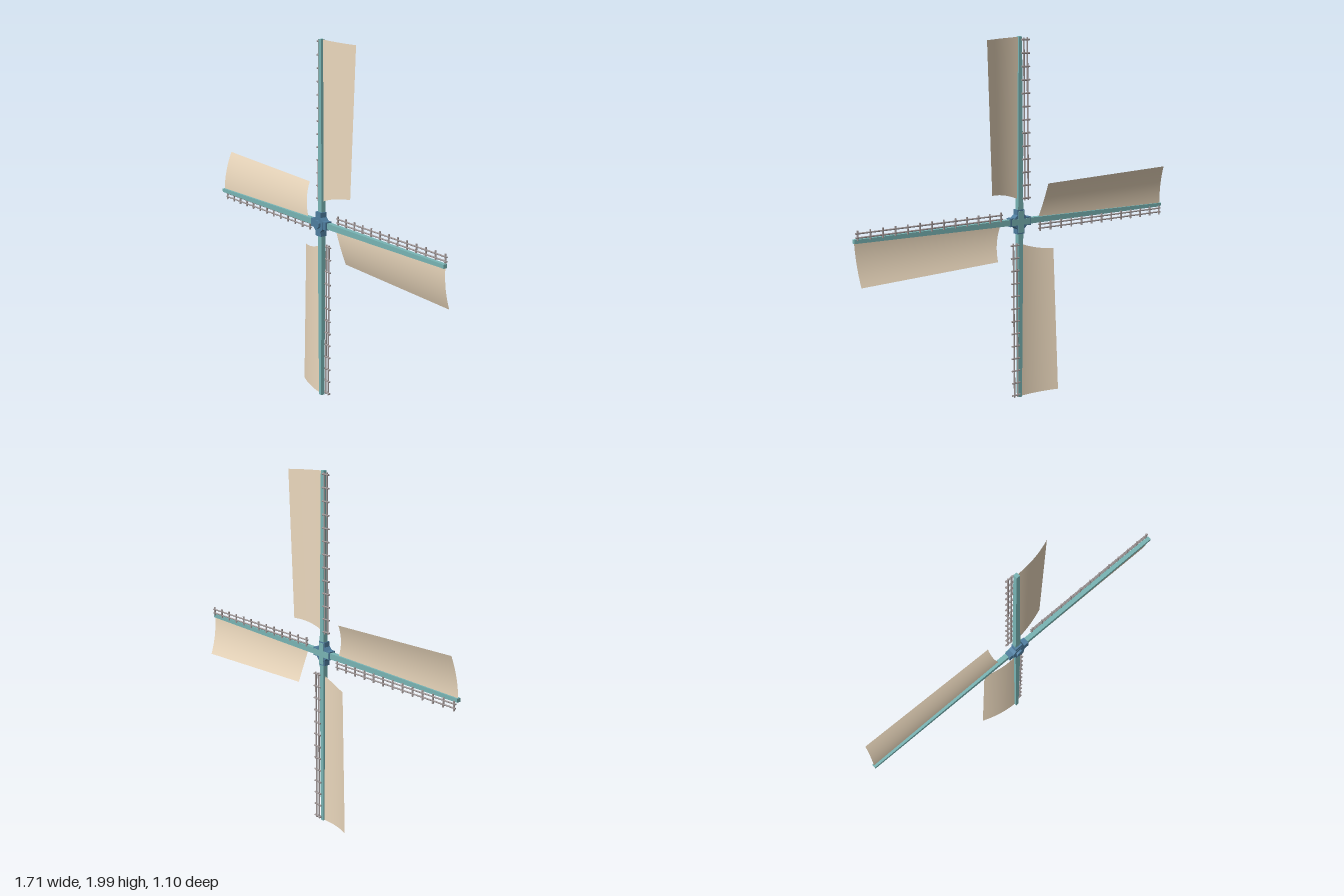
import * as THREE from 'three';

const material = (color, extra = {}) => new THREE.MeshStandardMaterial({ color, ...extra });
const teal = material(0x79b5b5);
const blue = material(0x4f7ea0, { flatShading: true });
const grey = material(0xa39a9a);
const canvas = material(0xecd9be, { side: THREE.DoubleSide });

function add(parent, name, geometry, mat, x = 0, y = 0, z = 0) {
  const mesh = new THREE.Mesh(geometry, mat);
  mesh.name = name;
  mesh.position.set(x, y, z);
  parent.add(mesh);
  return mesh;
}

// Curved canvas: widens outward and bends back away from the spar
function sailGeometry() {
  const geo = new THREE.PlaneGeometry(1, 1, 12, 8);
  const p = geo.attributes.position;
  for (let i = 0; i < p.count; i++) {
    const u = p.getX(i) + 0.5, v = p.getY(i) + 0.5;
    const inner = 0.122 + 0.042 * (1 - (1 - u) ** 2);
    const outer = 0.995 - 0.013 * u;
    const width = 0.2 + 0.032 * v;
    const depth = 0.038 + 0.007 * v;
    p.setXYZ(i, 0.004 + (width - 0.004) * u, inner + (outer - inner) * v, -0.002 - depth * u * u);
  }
  geo.computeVertexNormals();
  return geo;
}

// Square spar tapering towards its tip
function sparGeometry() {
  const geo = new THREE.BoxGeometry(0.034, 0.997, 0.028);
  const p = geo.attributes.position;
  for (let i = 0; i < p.count; i++) {
    if (p.getY(i) > 0) p.setXYZ(i, p.getX(i) * 0.6, p.getY(i), p.getZ(i) * 0.8);
  }
  geo.translate(0, 0.4985, 0);
  geo.computeVertexNormals();
  return geo;
}

function createBlade() {
  const blade = new THREE.Group();
  blade.name = 'blade';
  add(blade, 'spar', sparGeometry(), teal);
  add(blade, 'sail', sailGeometry(), canvas);

  // Ladder beside the spar, leaning slightly towards it at the tip
  const ladder = new THREE.Group();
  ladder.name = 'ladder';
  const rail = new THREE.CylinderGeometry(0.0045, 0.0045, 0.875, 8);
  const rung = new THREE.CylinderGeometry(0.005, 0.005, 0.052, 8).rotateZ(Math.PI / 2);
  for (const x of [-0.011, 0.011]) add(ladder, 'ladderRail', rail, grey, x);
  for (let i = 0; i < 13; i++) add(ladder, 'ladderRung', rung, grey, 0, -0.426 + i * 0.071);
  ladder.position.set(-0.034, 0.554, -0.014);
  ladder.rotation.z = -0.008;
  blade.add(ladder);
  return blade;
}

function createHub() {
  const hub = new THREE.Group();
  hub.name = 'hub';
  // Octagonal boss with a raised cap
  const disc = (r, depth) => new THREE.CylinderGeometry(r, r, depth, 8).rotateX(Math.PI / 2).rotateZ(Math.PI / 8);
  add(hub, 'boss', disc(0.047, 0.042), blue, 0, 0, 0.004);
  add(hub, 'cap', disc(0.024, 0.014), blue, 0, 0, 0.03);
  // Sockets gripping the four spars
  for (let k = 0; k < 4; k++) {
    const a = k * Math.PI / 2;
    const socket = add(hub, 'socket', new THREE.BoxGeometry(0.046, 0.028, 0.038), blue,
      Math.sin(a) * 0.053, Math.cos(a) * 0.053, 0.004);
    socket.rotation.z = -a;
  }
  // Cross plate behind the boss
  add(hub, 'backPlate', new THREE.BoxGeometry(0.034, 0.12, 0.004), teal, 0, 0, -0.018);
  add(hub, 'backPlate', new THREE.BoxGeometry(0.12, 0.034, 0.004), teal, 0, 0, -0.018);
  return hub;
}

export function createModel() {
  const model = new THREE.Group();
  model.name = 'windmillRotor';
  const rotor = new THREE.Group();
  rotor.name = 'rotor';
  for (let k = 0; k < 4; k++) {
    const blade = createBlade();
    blade.rotation.z = -k * Math.PI / 2;
    rotor.add(blade);
  }
  rotor.add(createHub());
  // Turned about the upright axis
  rotor.rotation.y = -0.557;
  rotor.position.set(-0.005, 1, 0.009);
  model.add(rotor);
  return model;
}
